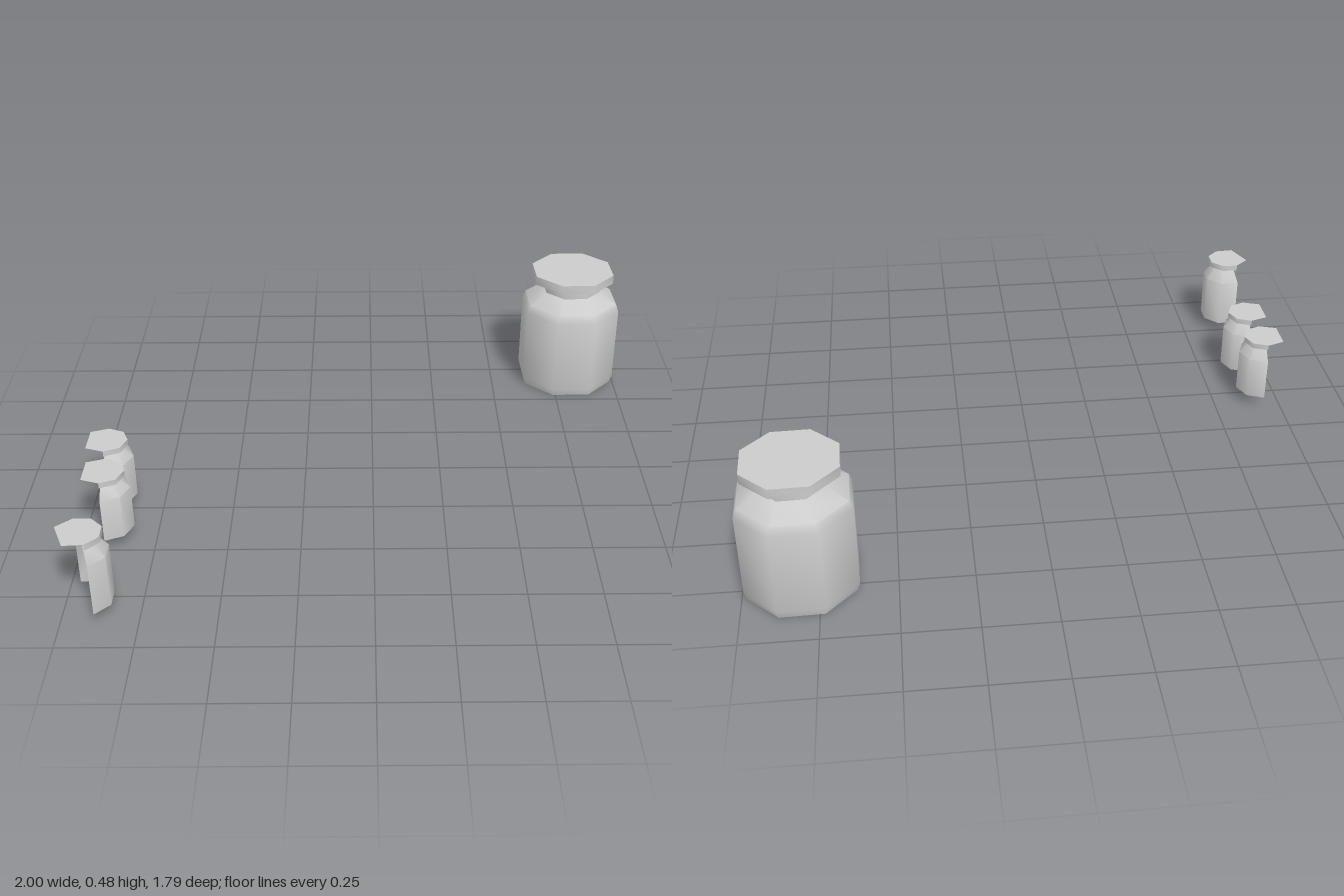
import * as THREE from 'three';
import { toCreasedNormals } from 'three/addons/utils/BufferGeometryUtils.js';

const material = new THREE.MeshStandardMaterial({ color: 0xcccccc, side: THREE.DoubleSide });
const deg = THREE.MathUtils.degToRad;

// Revolve a profile of [radius, height] pairs, smooth around and sharp at hard edges
function turned(name, profile, sides, arc) {
  const points = profile.map(([r, y]) => new THREE.Vector2(r, y));
  const geometry = toCreasedNormals(new THREE.LatheGeometry(points, sides, 0, arc), deg(50));
  const mesh = new THREE.Mesh(geometry, material);
  mesh.name = name;
  return mesh;
}

// Full octagonal jar, open underneath
function largeJar() {
  const jar = new THREE.Group();
  jar.name = 'largeJar';
  jar.add(
    turned('largeJarBody', [
      [0.19, 0], [0.199, 0.03], [0.199, 0.325], [0.188, 0.355],
      [0.116, 0.4], [0.116, 0.445],
    ], 8, Math.PI * 2),
    turned('largeJarLid', [[0.116, 0.445], [0.166, 0.445], [0.166, 0.48], [0, 0.48]], 8, Math.PI * 2),
  );
  return jar;
}

// Half-shell jar, open at the back and underneath, with a flat lid top that overhangs the open side
function smallJar(shoulder, neck, top) {
  const jar = new THREE.Group();
  jar.name = 'smallJar';
  const lidRadius = 0.075;
  jar.add(
    turned('smallJarBody', [[0.09, 0.045], [0.09, shoulder], [0.05, neck]], 4, Math.PI),
    turned('smallJarLidRim', [[0.05, neck], [lidRadius, neck], [lidRadius, top]], 4, Math.PI),
  );

  const outline = [-90, -45, 0, 45, 90, 140, 220].map((angle, i) => {
    const r = i > 4 ? 0.083 : lidRadius;
    return new THREE.Vector2(r * Math.cos(deg(angle)), r * Math.sin(deg(angle)));
  });
  const lidTop = new THREE.Mesh(new THREE.ShapeGeometry(new THREE.Shape(outline)), material);
  lidTop.name = 'smallJarLidTop';
  lidTop.rotation.x = -Math.PI / 2;
  lidTop.position.y = top;
  jar.add(lidTop);
  return jar;
}

export function createModel() {
  const model = new THREE.Group();
  model.name = 'jars';

  const place = (jar, x, z, turn) => {
    jar.position.set(x, 0, z);
    jar.rotation.y = deg(turn);
    model.add(jar);
  };
  place(largeJar(), 0.81, -0.712, -21);
  place(smallJar(0.205, 0.25, 0.27), -0.933, 0.222, 0);
  place(smallJar(0.205, 0.25, 0.27), -0.916, 0.417, 0);
  place(smallJar(0.232, 0.285, 0.307), -0.922, 0.812, 22.5);
  return model;
}
